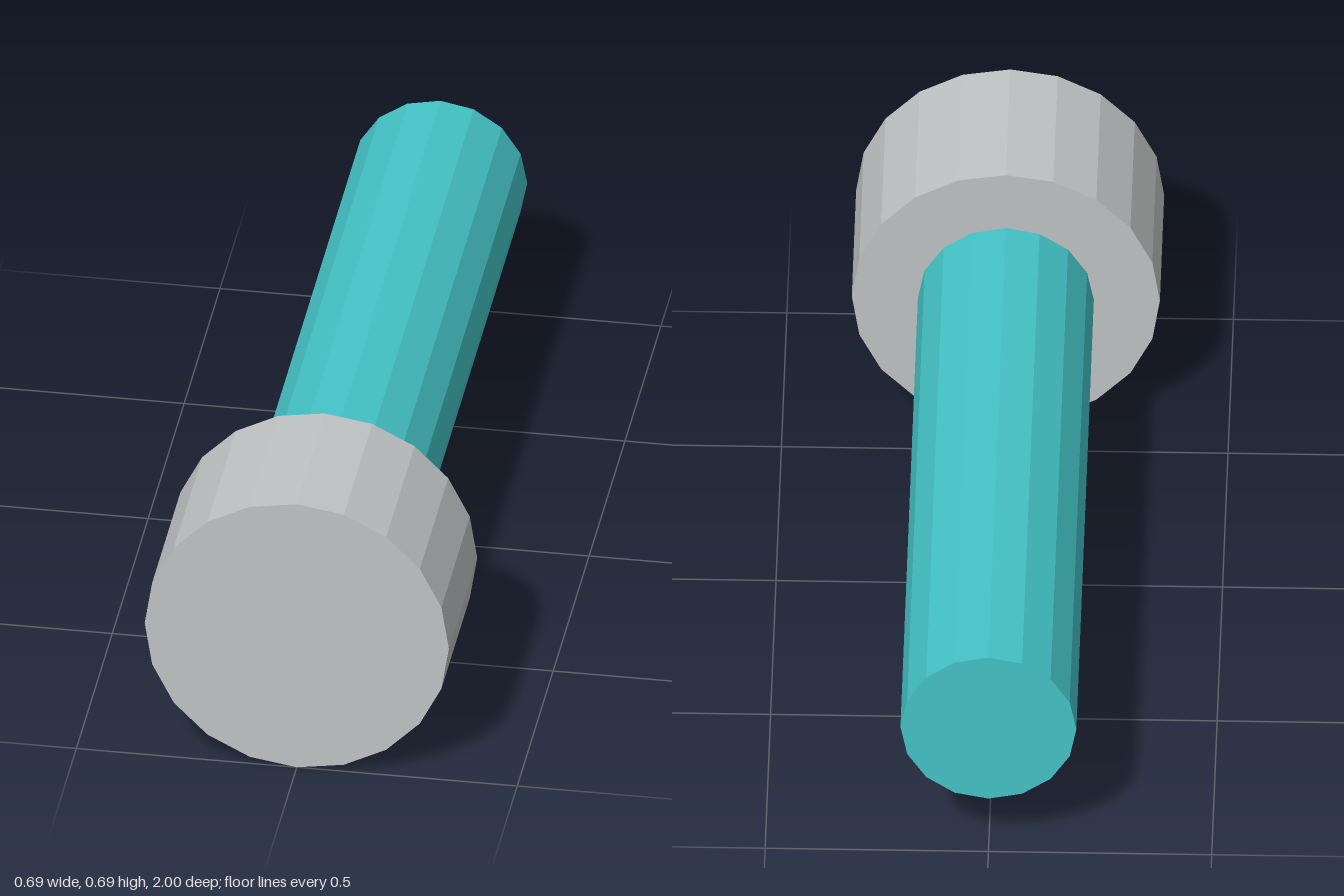
import * as THREE from 'three';

const AXIS_Y = 0.345;

// Faceted cylinder lying along z, between two z positions
function rod(name, radius, zBack, zFront, sides, material) {
  const geometry = new THREE.CylinderGeometry(radius, radius, zFront - zBack, sides);
  geometry.rotateX(Math.PI / 2);
  const mesh = new THREE.Mesh(geometry, material);
  mesh.name = name;
  mesh.position.set(0, AXIS_Y, (zBack + zFront) / 2);
  return mesh;
}

export function createModel() {
  const grey = new THREE.MeshStandardMaterial({ color: 0xc0c4c4, flatShading: true });
  grey.name = 'light grey';
  const teal = new THREE.MeshStandardMaterial({ color: 0x44c4c7, flatShading: true });
  teal.name = 'teal';

  const model = new THREE.Group();
  model.name = 'mallet';
  // Wide head at the front, slim shaft set slightly into its back
  model.add(rod('head', 0.345, 0.605, 1, 20, grey));
  model.add(rod('shaft', 0.197, -1, 0.615, 16, teal));
  return model;
}
